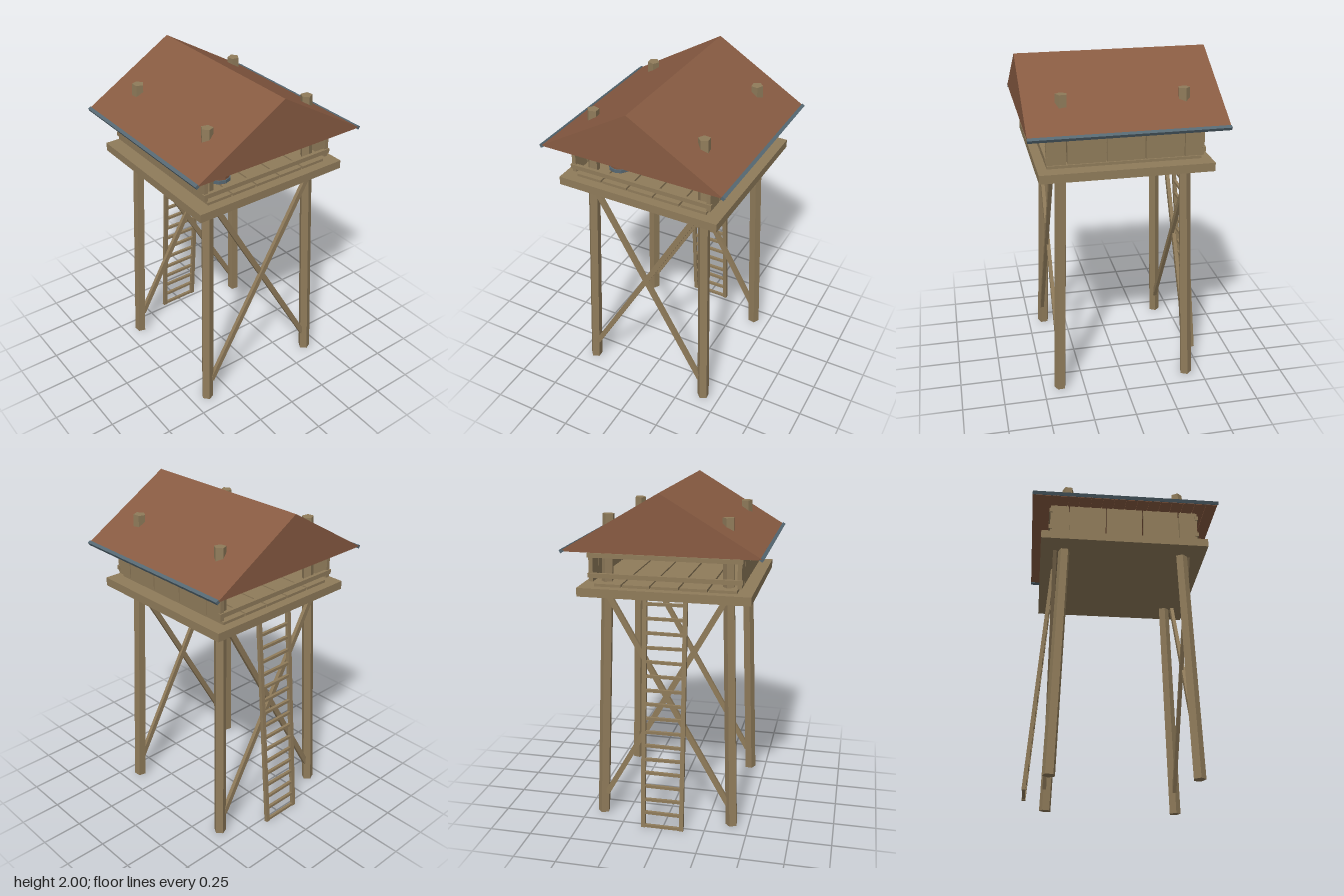
import * as THREE from 'three';

const mat = (name, color) => {
  const m = new THREE.MeshStandardMaterial({ color });
  m.name = name;
  return m;
};

export function createModel() {
  const wood = mat('weathered wood', 0x8f7b5a);
  const roofRed = mat('roof brown', 0x885b42);
  const slate = mat('slate metal', 0x566872);
  const model = new THREE.Group();
  model.name = 'watchtower';

  const add = (name, geo, material, x = 0, y = 0, z = 0) => {
    const g = geo.index ? geo.toNonIndexed() : geo;
    g.computeVertexNormals(); // faceted look
    const mesh = new THREE.Mesh(g, material);
    mesh.name = name;
    mesh.position.set(x, y, z);
    model.add(mesh);
    return mesh;
  };
  const box = (name, w, h, d, x, y, z, material = wood) =>
    add(name, new THREE.BoxGeometry(w, h, d), material, x, y, z);
  // Bar whose local y axis runs from a to b
  const span = (name, geo, a, b) => {
    const dir = b.clone().sub(a);
    geo.scale(1, dir.length(), 1);
    const mesh = add(name, geo, wood);
    mesh.position.copy(a).add(b).multiplyScalar(0.5);
    mesh.quaternion.setFromUnitVectors(new THREE.Vector3(0, 1, 0), dir.normalize());
    return mesh;
  };
  const v = (x, y, z) => new THREE.Vector3(x, y, z);

  // Five-sided legs, leaning inward and passing through the roof
  let turn = 0.4;
  for (const sx of [-1, 1]) for (const sz of [-1, 1]) {
    const log = new THREE.CylinderGeometry(0.035, 0.037, 1, 5);
    log.rotateY(turn);
    turn += 1.9;
    span('leg', log, v(sx * 0.4, 0.01, sz * 0.4), v(sx * 0.34, 1.85, sz * 0.34));
  }

  // Crossed braces on the front and back
  for (const sz of [-1, 1]) for (const sx of [-1, 1]) {
    const off = sx * 0.006;
    span('brace', new THREE.BoxGeometry(0.032, 1, 0.022),
      v(-sx * 0.375, 0.14, sz * 0.403 + off), v(sx * 0.345, 1.41, sz * 0.403 + off));
  }

  // Platform and floor planks
  box('platform', 0.99, 0.05, 0.99, 0, 1.425, 0);
  for (let i = 0; i < 5; i++) {
    box('floorPlank', 0.155, 0.016, 0.88, (i - 2) * 0.165, 1.458, 0);
  }

  // Board walls on the two sides
  for (const sx of [-1, 1]) {
    for (const [z0, z1] of [[-0.445, -0.335], [-0.33, -0.112], [-0.106, 0.108], [0.116, 0.328], [0.336, 0.445]]) {
      box('wallBoard', 0.024, 0.2, z1 - z0, sx * 0.422, 1.58, (z0 + z1) / 2);
    }
    // Horizontal railings on the front and back
    for (const y of [1.515, 1.63]) box('railing', 0.88, 0.026, 0.02, 0, y, sx * 0.443);
  }

  // Solid gable roof with ridge along z
  const gable = new THREE.Shape([
    new THREE.Vector2(-0.555, 1.672), new THREE.Vector2(0.555, 1.672), new THREE.Vector2(0, 2),
  ]);
  add('roof', new THREE.ExtrudeGeometry(gable, { depth: 1.11, bevelEnabled: false }), roofRed, 0, 0, -0.555);

  // Ceiling boards under the roof
  for (let i = 0; i < 16; i++) {
    box('ceilingBoard', 1.07, 0.006, 0.063, 0, 1.669, (i - 7.5) * 0.069, roofRed);
  }

  // Eave strips
  for (const sx of [-1, 1]) {
    const strip = box('eaveStrip', 0.02, 0.02, 1.11, sx * 0.552, 1.67, 0, slate);
    strip.rotation.z = -sx * 0.53;
  }

  // Barrel with metal bands
  const barrel = new THREE.LatheGeometry([[0, 0], [0.056, 0], [0.064, 0.07], [0.056, 0.14], [0, 0.14]]
    .map(([x, y]) => new THREE.Vector2(x, y)), 10);
  add('barrel', barrel, roofRed, -0.22, 1.468, 0.28);
  for (const y of [1.485, 1.592]) {
    add('barrelBand', new THREE.CylinderGeometry(0.066, 0.066, 0.02, 10), slate, -0.22, y, 0.28);
  }

  // Leaning ladder at the back
  const ladderZ = (y) => -0.53 + y * 0.082;
  for (const sx of [-1, 1]) {
    span('ladderRail', new THREE.BoxGeometry(0.025, 1, 0.022),
      v(sx * 0.117, 0.002, ladderZ(0)), v(sx * 0.117, 1.41, ladderZ(1.41)));
  }
  for (let i = 0; i < 17; i++) {
    const y = 0.012 + i * 0.0843;
    const rung = box('ladderRung', 0.22, 0.017, 0.017, 0, y, ladderZ(y));
    rung.rotation.z = Math.sin(i * 2.3) * 0.012;
  }
  return model;
}
